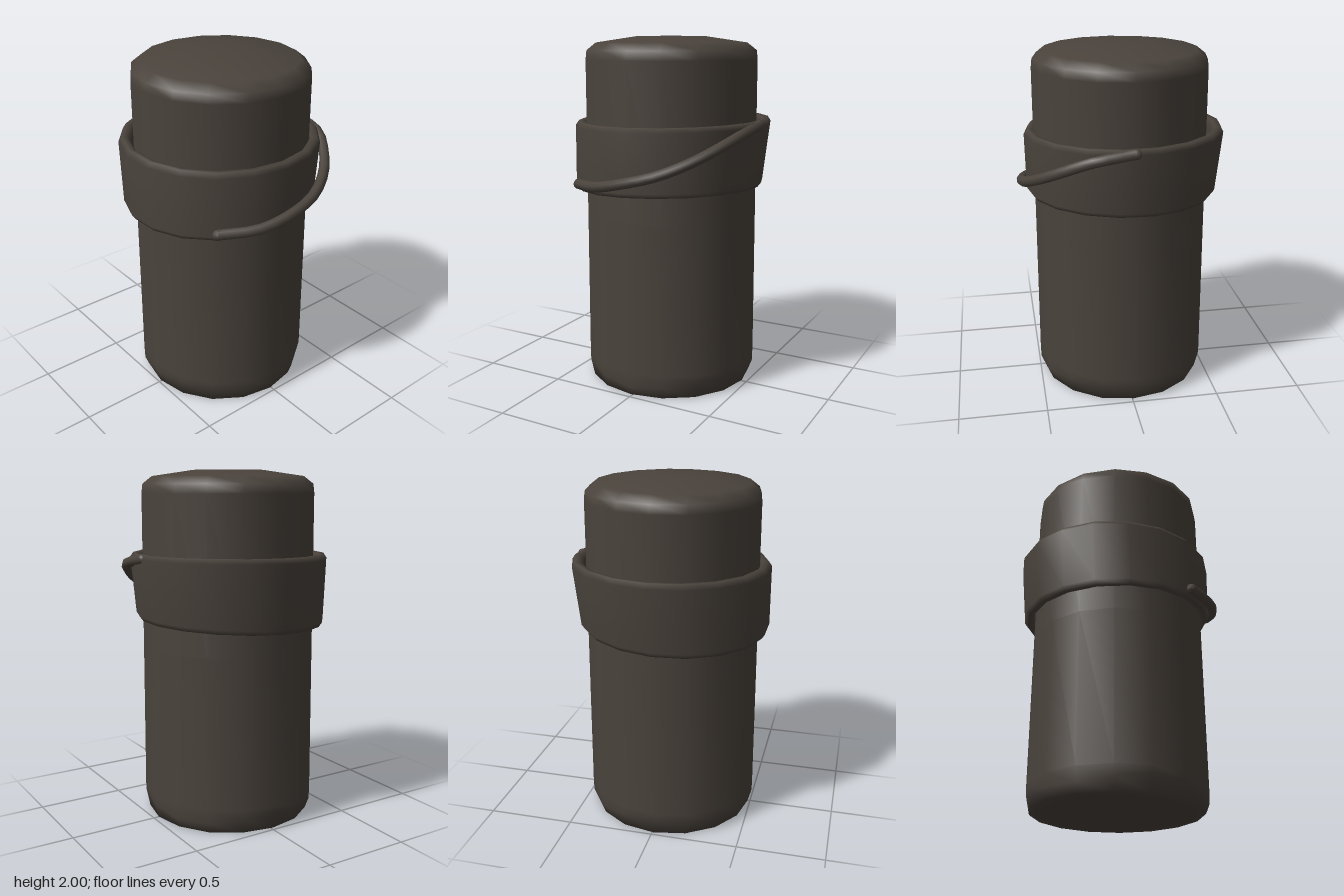
import * as THREE from 'three';
import { mergeVertices } from 'three/addons/utils/BufferGeometryUtils.js';

const v2 = (pts) => pts.map(([r, y]) => new THREE.Vector2(r, y));

// Lathe a profile, move its vertices by a rule and weld it into one smooth surface
function turned(profile, sides, rule) {
  let g = new THREE.LatheGeometry(v2(profile), sides);
  const p = g.attributes.position;
  const v = new THREE.Vector3();
  for (let i = 0; i < p.count; i++) {
    v.fromBufferAttribute(p, i);
    rule(v);
    p.setXYZ(i, v.x, v.y, v.z);
  }
  g.deleteAttribute('uv');
  g.deleteAttribute('normal');
  g = mergeVertices(g, 1e-4);
  g.computeVertexNormals();
  return g;
}

export function createModel() {
  const group = new THREE.Group();
  const dark = new THREE.MeshStandardMaterial({ color: 0x4a433c });
  dark.name = 'dark brown grey';

  const add = (name, geometry) => {
    const mesh = new THREE.Mesh(geometry, dark);
    mesh.name = name;
    group.add(mesh);
    return mesh;
  };

  // Body: slim drum with a bevelled, slightly domed top and an uneven lower edge
  add('body', turned([
    [0, 0], [0.4, 0], [0.478, 0.003], [0.499, 0.08], [0.501, 0.14], [0.497, 1],
    [0.494, 1.87], [0.488, 1.92], [0.435, 1.962], [0.2, 1.997], [0, 2],
  ], 16, (v) => {
    if (v.y > 0.05 && v.y < 0.1) v.y += 0.025 * Math.sin(3 * Math.atan2(v.z, v.x));
    v.x -= 0.008;
    v.z -= 0.005;
  }));

  // Band: loose collar with rounded rims, leaning a little to the back
  add('band', turned([
    [0.5, 1.145], [0.53, 1.138], [0.549, 1.165], [0.568, 1.505], [0.55, 1.532],
    [0.52, 1.53], [0.5, 1.5], [0.498, 1.2], [0.5, 1.145],
  ], 18, (v) => {
    const t = (v.y - 1.14) / 0.39;
    v.y += v.x * THREE.MathUtils.lerp(0.035, 0.015, t) + v.z * THREE.MathUtils.lerp(0.02, -0.012, t);
    v.x += THREE.MathUtils.lerp(-0.02, 0, t);
    v.z += THREE.MathUtils.lerp(-0.01, -0.025, t);
  }));

  // Cord: thin ridge winding down across the front of the band
  const path = [
    [0.54, 1.515, 0], [0.525, 1.475, 0.23], [0.46, 1.42, 0.35], [0.35, 1.35, 0.465],
    [0.2, 1.285, 0.545], [0.03, 1.24, 0.567], [-0.18, 1.195, 0.53], [-0.37, 1.18, 0.42],
  ].map((p) => new THREE.Vector3(...p));
  add('cord', new THREE.TubeGeometry(new THREE.CatmullRomCurve3(path), 18, 0.03, 8));
  [path[0], path[path.length - 1]].forEach((p, i) => {
    add(i ? 'cordLowerEnd' : 'cordUpperEnd', new THREE.SphereGeometry(0.03, 8, 6)).position.copy(p);
  });

  return group;
}
